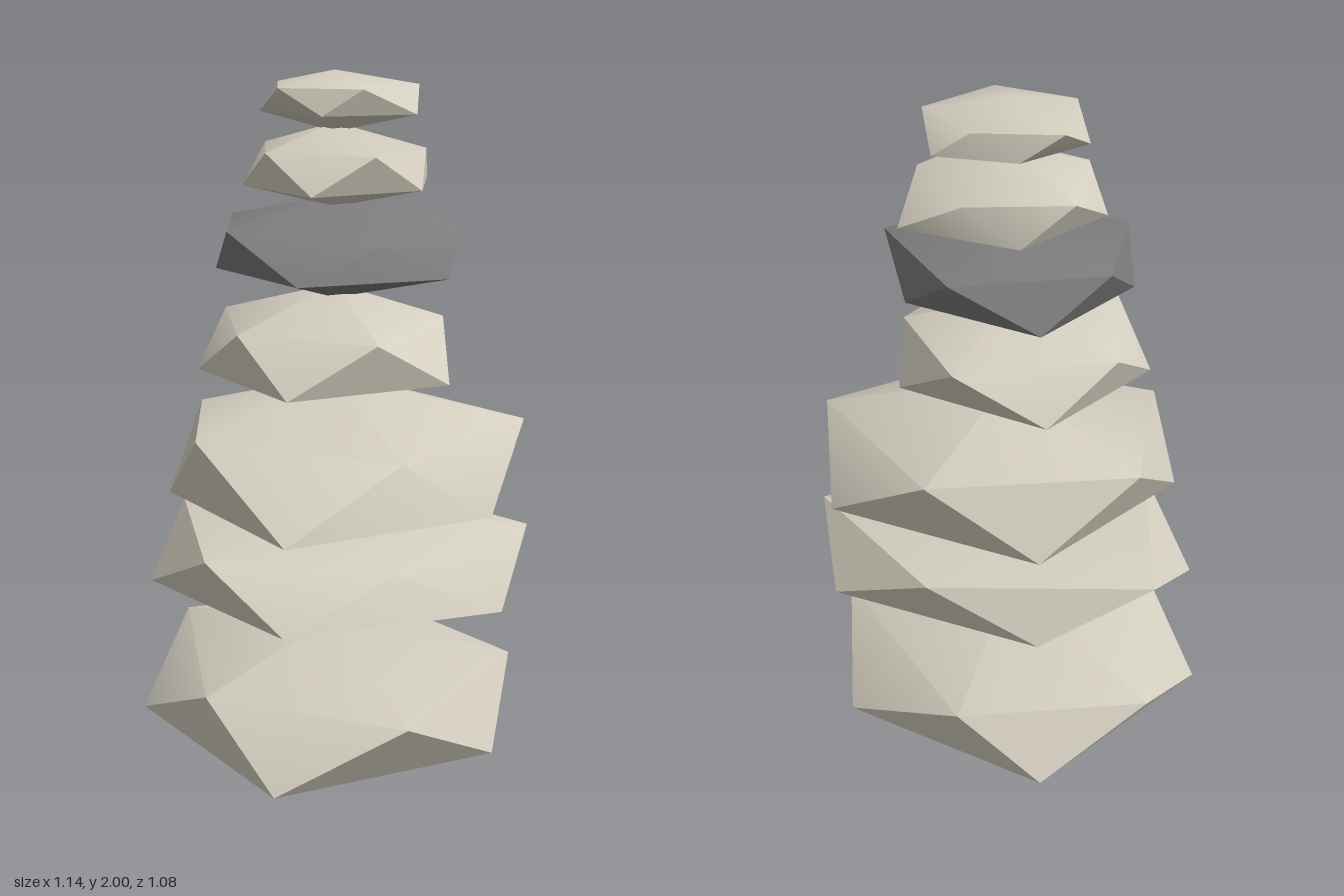
import * as THREE from 'three';
import { toCreasedNormals } from 'three/addons/utils/BufferGeometryUtils.js';

const pale = new THREE.MeshStandardMaterial({ color: 0xd3cebf });
const dark = new THREE.MeshStandardMaterial({ color: 0x7c7c7c });

// A faceted pebble: two poles and two staggered rings of five corners.
// heights: [bottom pole, lower ring, upper ring, top pole]
// Ring corners are [x, z] or [x, z, own height], counterclockwise from above.
function makeStone(name, material, heights, lower, upper) {
  const [y0, y1, y2, y3] = heights;
  const at = (ring, y) => ring.map(([x, z, own = y]) => [x, own, z]);
  const L = at(lower, y1);
  const U = at(upper, y2);
  const bottom = [0, y0, 0];
  const top = [0, y3, 0];
  const corners = [];
  for (let i = 0; i < 5; i++) {
    const j = (i + 1) % 5;
    corners.push(bottom, L[j], L[i]); // underside
    corners.push(L[i], L[j], U[i], U[i], L[j], U[j]); // rim
    corners.push(top, U[i], U[j]); // upper side
  }
  const geometry = new THREE.BufferGeometry();
  geometry.setAttribute('position', new THREE.Float32BufferAttribute(corners.flat(), 3));
  const mesh = new THREE.Mesh(toCreasedNormals(geometry, 0.68), material);
  mesh.name = name;
  return mesh;
}

export function createModel() {
  const group = new THREE.Group();
  group.name = 'stoneStack';

  // Three wide base stones
  group.add(makeStone('baseStone', pale, [0, 0.11, 0.29, 0.41],
    [[-0.575, -0.02], [-0.185, 0.54], [0.44, 0.29, 0.1], [0.44, -0.33], [-0.17, -0.54]],
    [[-0.375, 0.29], [0.18, 0.51], [0.52, 0.02], [0.08, -0.49], [-0.455, -0.35]]));
  group.add(makeStone('secondStone', pale, [0.405, 0.525, 0.68, 0.76],
    [[-0.54, -0.01], [-0.155, 0.425], [0.46, 0.26], [0.48, -0.275], [-0.14, -0.415]],
    [[-0.37, 0.25], [0.16, 0.3, 0.655], [0.57, -0.03], [0.18, -0.39], [-0.455, -0.295]]));
  group.add(makeStone('thirdStone', pale, [0.7, 0.815, 1.015, 1.15],
    [[-0.475, 0.03], [-0.15, 0.505], [0.42, 0.28], [0.48, -0.25], [-0.14, -0.4]],
    [[-0.39, 0.2], [0.17, 0.33, 0.985], [0.545, 0], [0.18, -0.375], [-0.39, -0.23]]));

  // Smaller upper stones, one of them dark
  group.add(makeStone('fourthStone', pale, [1.09, 1.185, 1.32, 1.415],
    [[-0.385, 0.05], [-0.14, 0.405], [0.3, 0.25], [0.29, -0.15], [-0.14, -0.285]],
    [[-0.27, 0.22], [0.1, 0.355], [0.305, 0], [0.115, -0.275], [-0.31, -0.135]]));
  group.add(makeStone('darkStone', dark, [1.375, 1.465, 1.59, 1.665],
    [[-0.33, 0.02], [-0.11, 0.3], [0.3, 0.2], [0.26, -0.16], [-0.12, -0.275]],
    [[-0.295, 0.16], [0.12, 0.22, 1.56], [0.35, 0.01], [0.12, -0.275], [-0.285, -0.15]]));
  group.add(makeStone('sixthStone', pale, [1.63, 1.69, 1.79, 1.86],
    [[-0.255, -0.01], [-0.07, 0.235], [0.23, 0.12], [0.27, -0.17], [-0.06, -0.235]],
    [[-0.19, 0.1], [0.1, 0.205], [0.25, 0], [0.09, -0.22], [-0.19, -0.165]]));
  group.add(makeStone('topStone', pale, [1.835, 1.89, 1.96, 2],
    [[-0.205, -0.015], [-0.04, 0.15], [0.215, 0.105], [0.18, -0.15], [-0.045, -0.158]],
    [[-0.155, 0.1], [0.07, 0.15], [0.23, -0.015], [0.08, -0.152], [-0.155, -0.125]]));

  return group;
}
